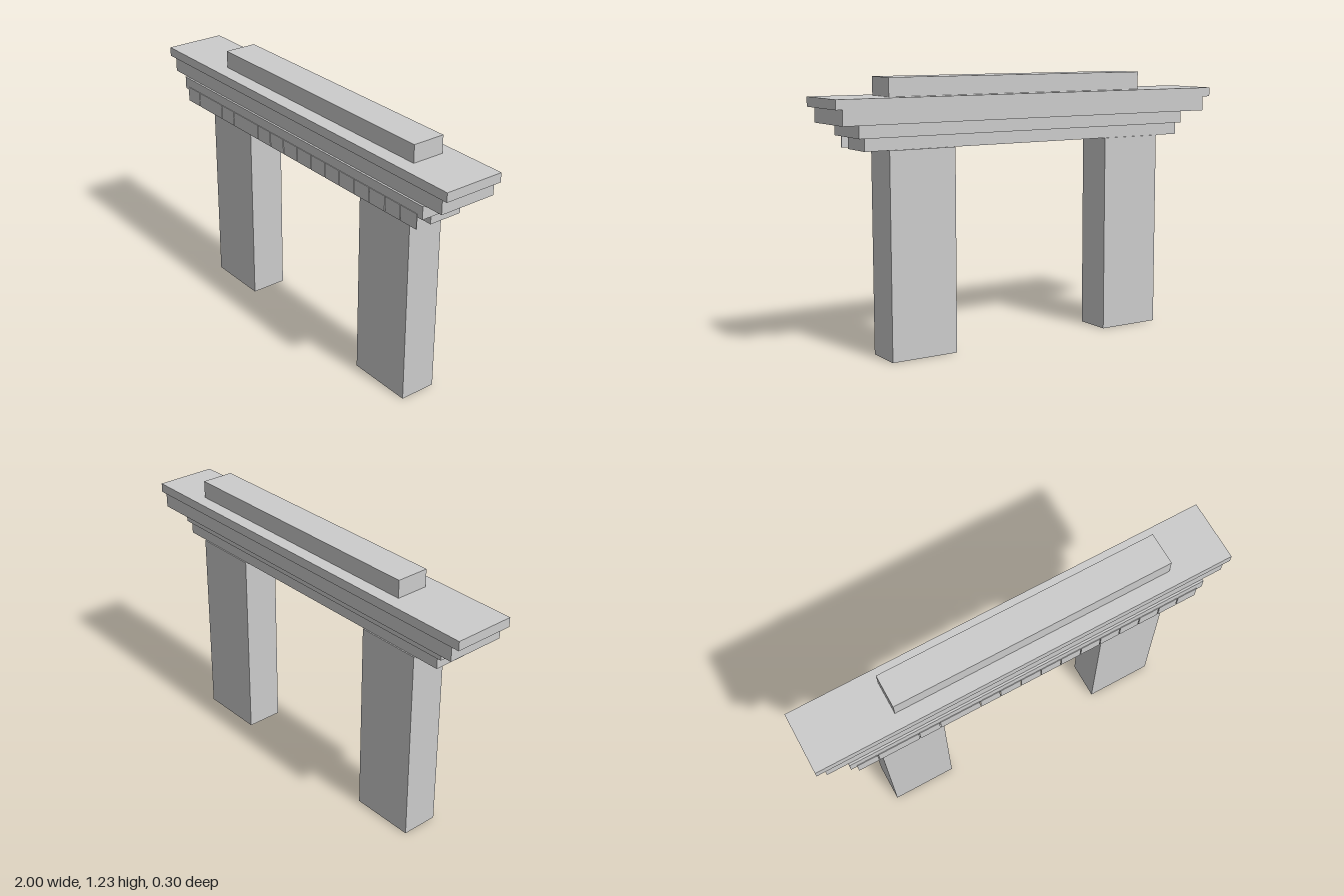
import * as THREE from 'three';

const material = new THREE.MeshStandardMaterial({ color: 0xcccccc, flatShading: true });

// Box given by its lower and upper limit on each axis
function block(name, [x0, x1], [y0, y1], [z0, z1]) {
  const mesh = new THREE.Mesh(new THREE.BoxGeometry(x1 - x0, y1 - y0, z1 - z0), material);
  mesh.position.set((x0 + x1) / 2, (y0 + y1) / 2, (z0 + z1) / 2);
  mesh.name = name;
  return mesh;
}

export function createModel() {
  const group = new THREE.Group();
  group.name = 'gateway';

  // Two supporting pillars
  const pillarZ = [-0.092, 0.083];
  group.add(block('rightPillar', [-0.71, -0.402], [0, 0.92], pillarZ));
  group.add(block('leftPillar', [0.412, 0.732], [0, 0.92], pillarZ));

  // Stepped lintel, from the bottom up
  group.add(block('lintelBeam', [-0.835, 0.845], [0.92, 0.975], [-0.086, 0.074]));
  group.add(block('lowerCornice', [-0.862, 0.873], [0.975, 1.034], [-0.095, 0.146]));
  group.add(block('upperCornice', [-0.96, 0.969], [1.034, 1.102], [-0.143, 0.136]));
  group.add(block('topSlab', [-1, 1], [1.102, 1.145], [-0.147, 0.142]));
  group.add(block('crownBlock', [-0.6, 0.728], [1.145, 1.227], [-0.084, 0.071]));

  // Thin hanging panels along the front edge, parted by fine seams
  const valance = new THREE.Group();
  valance.name = 'frontValance';
  const seams = [-0.835, -0.735, -0.54, -0.44, -0.245, -0.147, -0.047, 0.054, 0.153,
    0.253, 0.351, 0.45, 0.549, 0.649, 0.745, 0.845];
  const gap = 0.002;
  for (let i = 0; i < seams.length - 1; i++) {
    valance.add(block('valancePanel', [seams[i] + gap, seams[i + 1] - gap], [0.92, 0.99], [0.145, 0.149]));
  }
  group.add(valance);
  return group;
}
